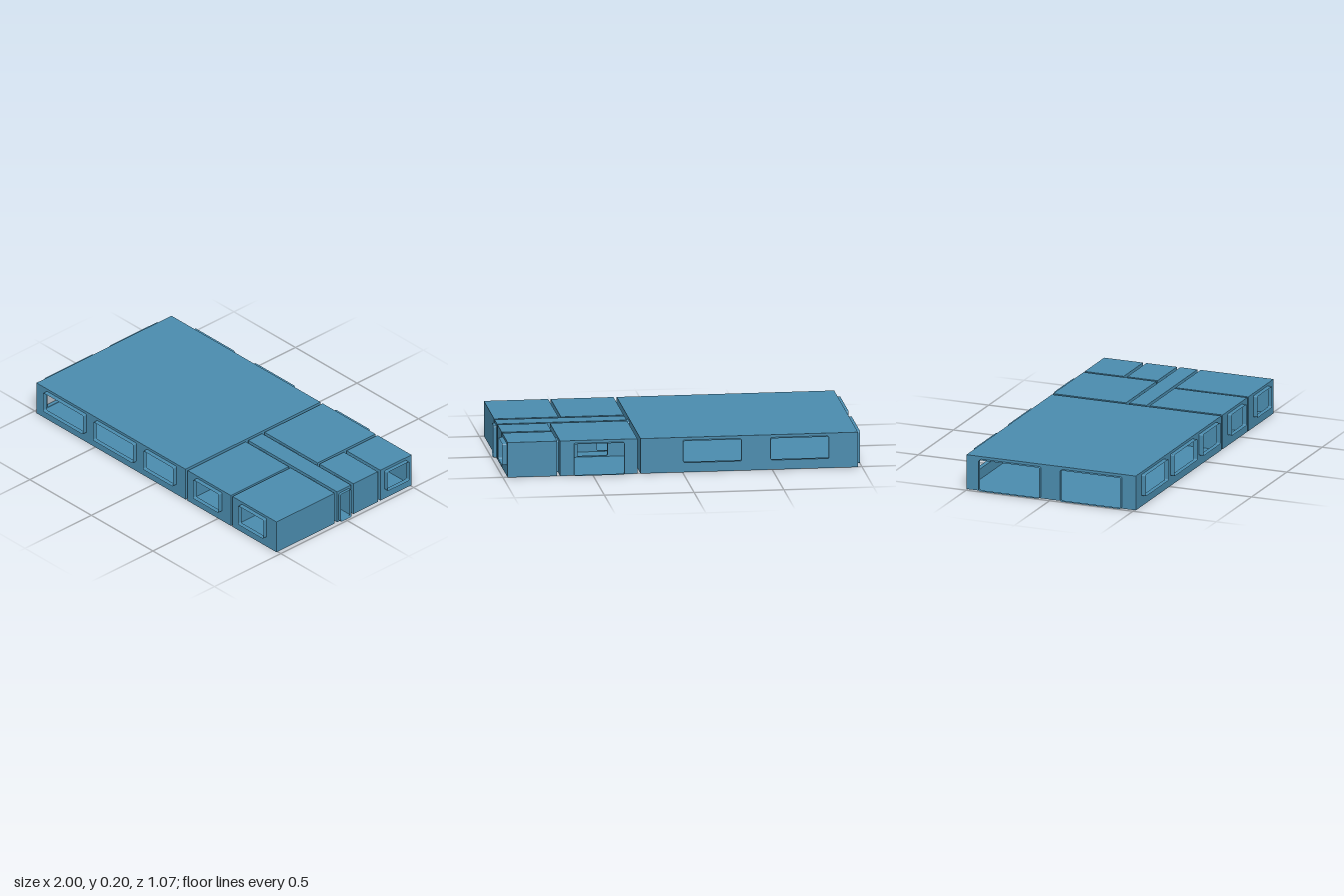
import * as THREE from 'three';

const HEIGHT = 0.198;
const HEAD = 0.183;   // top of every opening
const SILL = 0.06;    // bottom of windows
const FLOOR = 0.003;  // bottom of doors
const RIM = 0.026;    // how far outside frames stand out

const blue = new THREE.MeshStandardMaterial({ color: 0x4a8bad, side: THREE.DoubleSide });
blue.name = 'slate blue';

// Rooms: x range, z range, openings as [side, from, to, bottom, frame depth]
const rooms = [
  { name: 'mainHall', x: [-0.977, 0.234], z: [-0.508, 0.508], openings: [
    ['front', -0.897, -0.571, SILL, RIM], ['front', -0.489, -0.165, SILL, RIM], ['front', -0.083, 0.16, SILL, RIM],
    ['back', -0.813, -0.49, SILL, RIM], ['back', -0.326, -0.002, SILL, RIM],
    ['left', -0.426, -0.062, FLOOR, 0.023], ['left', 0.062, 0.426, FLOOR, 0.023],
    ['right', -0.038, 0.038, FLOOR, 0.018]] },
  { name: 'backRoom', x: [0.252, 0.682], z: [-0.508, -0.071], openings: [
    ['back', 0.327, 0.606, FLOOR, RIM], ['right', -0.43, -0.345, FLOOR, 0.016],
    ['front', 0.361, 0.529, FLOOR, 0.019]] },
  { name: 'cornerRoom', x: [0.698, 0.974], z: [-0.508, -0.274], openings: [
    ['left', -0.43, -0.345, FLOOR, 0], ['right', -0.469, -0.304, SILL, RIM]] },
  { name: 'smallRoom', x: [0.698, 0.974], z: [-0.254, -0.071], openings: [
    ['front', 0.812, 0.894, FLOOR, 0.019]] },
  { name: 'corridor', x: [0.252, 0.974], z: [-0.052, 0.052], openings: [
    ['left', -0.038, 0.038, FLOOR, 0], ['right', -0.04, 0.04, FLOOR, 0.017],
    ['back', 0.361, 0.529, FLOOR, 0], ['back', 0.812, 0.894, FLOOR, 0],
    ['front', 0.324, 0.403, FLOOR, 0.019], ['front', 0.731, 0.812, FLOOR, 0.019]] },
  { name: 'frontRoomA', x: [0.252, 0.602], z: [0.071, 0.508], openings: [
    ['back', 0.324, 0.403, FLOOR, 0], ['front', 0.323, 0.53, SILL, RIM]] },
  { name: 'frontRoomB', x: [0.616, 0.974], z: [0.071, 0.508], openings: [
    ['back', 0.731, 0.812, FLOOR, 0], ['front', 0.687, 0.894, SILL, RIM]] },
];

// Wall directions: turn about y, and sign of the wall's own x axis in world terms
const sides = {
  front: { turn: 0, sign: 1, axis: 'x' },
  back: { turn: Math.PI, sign: -1, axis: 'x' },
  right: { turn: Math.PI / 2, sign: -1, axis: 'z' },
  left: { turn: -Math.PI / 2, sign: 1, axis: 'z' },
};

function part(name, geometry) {
  const mesh = new THREE.Mesh(geometry, blue);
  mesh.name = name;
  return mesh;
}

// Outline of an opening with slightly rounded corners
function openingPath(x0, x1, y0, y1, r = 0.008) {
  const p = new THREE.Path();
  p.absarc(x1 - r, y0 + r, r, -Math.PI / 2, 0);
  p.absarc(x1 - r, y1 - r, r, 0, Math.PI / 2);
  p.absarc(x0 + r, y1 - r, r, Math.PI / 2, Math.PI);
  p.absarc(x0 + r, y0 + r, r, Math.PI, Math.PI * 1.5);
  p.closePath();
  return p;
}

// Open sleeve that carries an outline outwards from the wall
function sleeve(path, depth) {
  const pts = path.getPoints(4);
  const pos = [];
  for (let i = 0; i < pts.length - 1; i++) {
    const a = pts[i], b = pts[i + 1];
    if (a.distanceTo(b) < 1e-6) continue;
    pos.push(a.x, a.y, 0, b.x, b.y, 0, b.x, b.y, depth);
    pos.push(a.x, a.y, 0, b.x, b.y, depth, a.x, a.y, depth);
  }
  const g = new THREE.BufferGeometry();
  g.setAttribute('position', new THREE.Float32BufferAttribute(pos, 3));
  g.computeVertexNormals();
  return g;
}

// One wall with its holes and frames, built flat and then turned into place
function buildWall(room, side) {
  const { turn, sign, axis } = sides[side];
  const wall = new THREE.Group();
  wall.name = side + 'Wall';
  const [u0, u1] = room[axis].map((v) => v * sign).sort((a, b) => a - b);
  const shape = new THREE.Shape();
  shape.moveTo(u0, 0).lineTo(u1, 0).lineTo(u1, HEIGHT).lineTo(u0, HEIGHT).closePath();
  for (const [where, from, to, bottom, depth] of room.openings) {
    if (where !== side) continue;
    const [a, b] = [from * sign, to * sign].sort((p, q) => p - q);
    const path = openingPath(a, b, bottom, HEAD);
    shape.holes.push(path);
    if (depth > 0) wall.add(part(bottom === SILL ? 'windowFrame' : 'doorFrame', sleeve(path, depth)));
  }
  wall.add(part('wallPanel', new THREE.ShapeGeometry(shape, 4)));
  wall.rotation.y = turn;
  if (axis === 'x') wall.position.z = room.z[side === 'front' ? 1 : 0];
  else wall.position.x = room.x[side === 'right' ? 1 : 0];
  return wall;
}

function buildRoom(room) {
  const group = new THREE.Group();
  group.name = room.name;
  const [x0, x1] = room.x, [z0, z1] = room.z;
  for (const [name, y, turn] of [['floor', 0, Math.PI / 2], ['roof', HEIGHT, -Math.PI / 2]]) {
    const slab = part(name, new THREE.PlaneGeometry(x1 - x0, z1 - z0));
    slab.rotation.x = turn;
    slab.position.set((x0 + x1) / 2, y, (z0 + z1) / 2);
    group.add(slab);
  }
  for (const side of Object.keys(sides)) group.add(buildWall(room, side));
  return group;
}

export function createModel() {
  const model = new THREE.Group();
  model.name = 'floorPlan';
  for (const room of rooms) model.add(buildRoom(room));
  return model;
}
